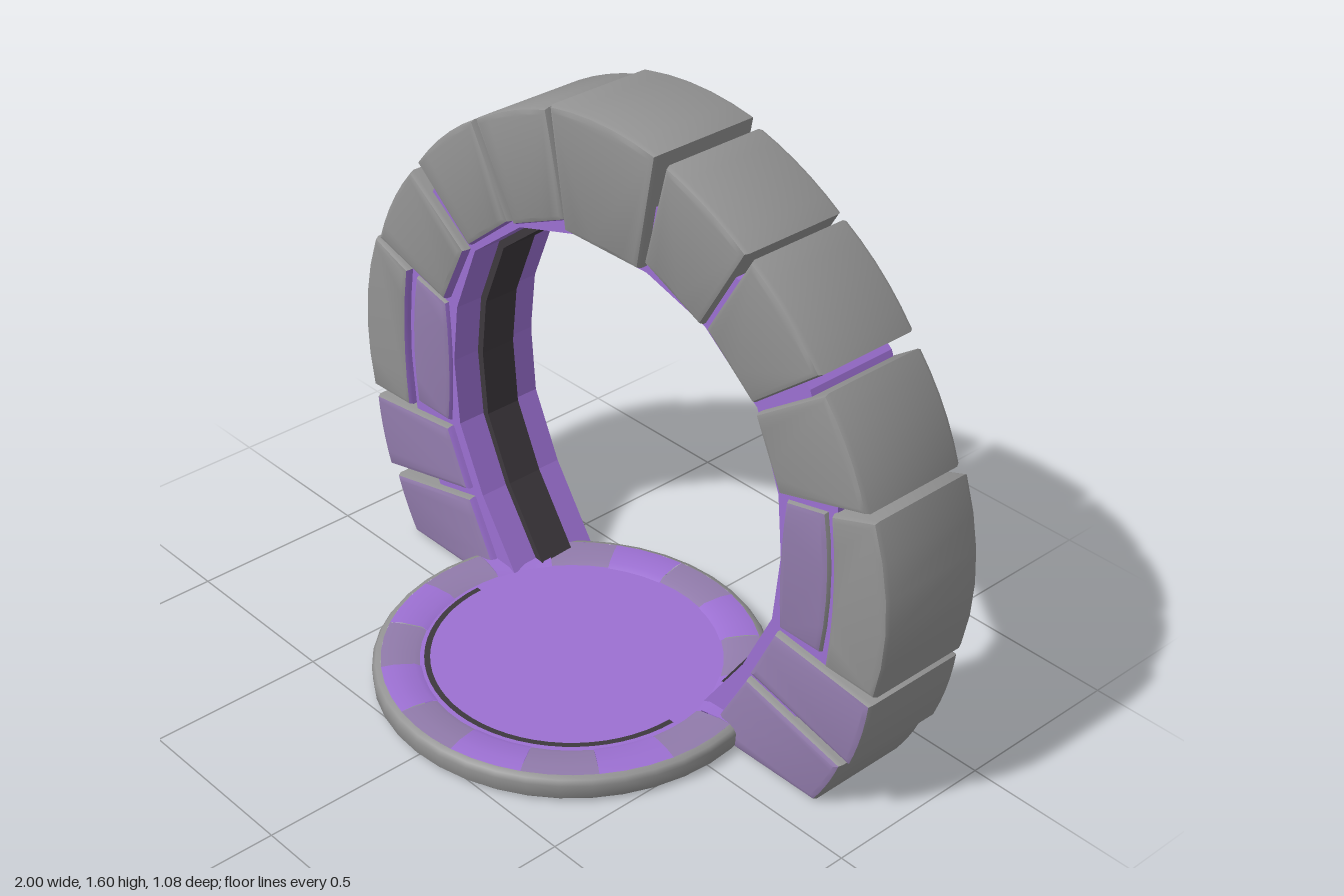
import * as THREE from 'three';
import { toCreasedNormals } from 'three/addons/utils/BufferGeometryUtils.js';

const mat = (name, color, side = THREE.FrontSide) => {
  const m = new THREE.MeshStandardMaterial({ color, side });
  m.name = name;
  return m;
};

export function createModel() {
  const stone = mat('grey stone', 0x929292);
  const mauve = mat('mauve stone', 0x917bab);
  const purple = mat('purple glow', 0x9c70d2);
  const dark = mat('dark band', 0x3d383d);
  const blue = mat('pale blue underside', 0xa6a9e2);

  const root = new THREE.Group();
  root.name = 'stonePortal';
  const add = (parent, name, geo, material) => {
    const m = new THREE.Mesh(geo, material);
    m.name = name;
    parent.add(m);
    return m;
  };
  const CENTRE = new THREE.Vector2(0, 0.63);

  // Bevelled stone from a four-cornered outline [outer a, outer b, inner b, inner a] with bulged outer edge
  function stoneGeometry(pts, bulge, z0, z1, rule, innerBulge = 0) {
    const [a, b, c, d] = pts.map(p => new THREE.Vector2(...p));
    const mid = (p, q, k) => {
      const m = p.clone().add(q).multiplyScalar(0.5);
      return m.add(m.clone().sub(CENTRE).normalize().multiplyScalar(2 * k));
    };
    const s = new THREE.Shape();
    const ab = mid(a, b, bulge), cd = mid(c, d, innerBulge);
    s.moveTo(a.x, a.y);
    s.quadraticCurveTo(ab.x, ab.y, b.x, b.y);
    s.lineTo(c.x, c.y);
    s.quadraticCurveTo(cd.x, cd.y, d.x, d.y);
    s.closePath();
    const bevel = 0.016;
    let g = new THREE.ExtrudeGeometry(s, {
      depth: z1 - z0 - 2 * bevel, bevelThickness: bevel, bevelSize: bevel,
      bevelOffset: -bevel, bevelSegments: 2, curveSegments: 5
    });
    g.translate(0, 0, z0 + bevel);
    g = toCreasedNormals(g, 0.6);
    // Choose a colour for every face by the way it points
    g.clearGroups();
    const p = g.attributes.position, t = new THREE.Triangle();
    const n = new THREE.Vector3(), m = new THREE.Vector3();
    for (let i = 0; i < p.count; i += 3) {
      t.setFromAttributeAndIndices(p, i, i + 1, i + 2);
      t.getNormal(n);
      t.getMidpoint(m);
      const toCentre = new THREE.Vector3(CENTRE.x - m.x, CENTRE.y - m.y, 0).normalize();
      g.addGroup(i, 3, rule(n, n.dot(toCentre)));
    }
    return g;
  }

  const palette = [stone, mauve, purple];
  const greyRule = (n, inward) => (inward > 0.6 ? 2 : 0);
  const lowerRule = (n, inward) =>
    inward > 0.5 || n.y < -0.8 ? 2 : Math.abs(n.z) > 0.6 ? 1 : 0;
  const footRule = (n, inward) =>
    inward > 0.5 || n.y < -0.8 || n.z < -0.6 ? 2 : n.z > 0.6 ? 1 : 0;

  // Arch stones of one side: name, corners, outer bulge, depth range, colour rule, inner bulge
  const stones = [
    ['upperStone', [[0.215, 1.565], [0.49, 1.44], [0.345, 1.19], [0.145, 1.28]], 0.012, -0.43, -0.1, greyRule, 0],
    ['shoulderStone', [[0.505, 1.43], [0.74, 1.225], [0.53, 1.055], [0.365, 1.19]], 0.015, -0.43, -0.1, greyRule, 0],
    ['highSideStone', [[0.765, 1.19], [0.915, 0.93], [0.635, 0.85], [0.545, 1.035]], 0.015, -0.43, -0.095, greyRule, 0],
    ['outerSideStone', [[0.94, 0.92], [0.975, 0.425], [0.81, 0.43], [0.8, 0.87]], 0.04, -0.43, -0.1, greyRule, 0.015],
    ['innerSideStone', [[0.775, 0.86], [0.785, 0.45], [0.645, 0.45], [0.645, 0.83]], 0.018, -0.42, -0.11, lowerRule, -0.01],
    ['lowSideStone', [[0.965, 0.395], [0.915, 0.18], [0.56, 0.265], [0.64, 0.435]], 0.008, -0.43, -0.1, lowerRule, 0],
    ['footStone', [[0.885, 0.16], [0.805, 0], [0.42, 0], [0.55, 0.24]], 0.006, -0.43, -0.1, footRule, 0]
  ];
  const arch = new THREE.Group();
  arch.name = 'arch';
  root.add(arch);
  for (const [side, s] of [['left', 1], ['right', -1]]) {
    for (const [name, pts, bulge, z0, z1, rule, inner] of stones) {
      const mirrored = pts.map(([x, y]) => [x * s, y]);
      add(arch, `${side}-${name}`, stoneGeometry(mirrored, bulge, z0, z1, rule, inner), palette);
    }
  }
  add(arch, 'keystone',
    stoneGeometry([[-0.19, 1.585], [0.19, 1.585], [0.135, 1.26], [-0.135, 1.26]], 0.02, -0.43, -0.09, greyRule), palette);

  // Purple core behind the stones and the dark band lining the opening
  const half = [[0.13, 1.22], [0.33, 1.16], [0.51, 1.02], [0.59, 0.82], [0.608, 0.65],
    [0.59, 0.46], [0.5, 0.27], [0.35, 0.05]];
  const line = [...half.map(([x, y]) => [-x, y]).reverse(), ...half];
  const scaled = k => line.map(([x, y]) =>
    new THREE.Vector2(x * k, Math.max(0.012, CENTRE.y + (y - CENTRE.y) * k)));
  function arcBand(inner, outer, z0, z1) {
    const shape = new THREE.Shape([...scaled(inner), ...scaled(outer).reverse()]);
    const g = new THREE.ExtrudeGeometry(shape, { depth: z1 - z0, bevelEnabled: false });
    return g.translate(0, 0, z0);
  }
  add(arch, 'core', arcBand(1.035, 1.36, -0.405, -0.125), purple);
  add(arch, 'liningBand', arcBand(1, 1.1, -0.32, -0.21), dark);

  // Round floor slab with a rim of stones
  const slab = new THREE.Group();
  slab.name = 'floorSlab';
  root.add(slab);
  const lathe = (pts, seg, start = 0, len = Math.PI * 2) =>
    new THREE.LatheGeometry(pts.map(p => new THREE.Vector2(...p)), seg, start, len);
  add(slab, 'slabEdge',
    lathe([[0.525, 0], [0.537, 0.012], [0.539, 0.05], [0.53, 0.063], [0.515, 0.068]], 40), stone);
  const count = 16, step = Math.PI * 2 / count;
  for (let i = 0; i < count; i++) {
    const h = i % 2 ? 0.073 : 0.07;
    add(slab, 'rimStone',
      lathe([[0.515, 0.068], [0.48, h], [0.425, h - 0.003], [0.395, 0.055]], 3, (i - 0.5) * step, step),
      i % 2 ? purple : mauve);
  }
  const floor = add(slab, 'floor', new THREE.CylinderGeometry(0.42, 0.42, 0.05, 40), purple);
  floor.position.y = 0.036;
  const groove = add(slab, 'grooveArc',
    new THREE.RingGeometry(0.382, 0.398, 32, 1, Math.PI, Math.PI), dark);
  groove.rotation.x = -Math.PI / 2;
  groove.position.y = 0.0635;

  // Underside
  const under = add(slab, 'underside', new THREE.CircleGeometry(0.526, 40), blue);
  under.rotation.x = Math.PI / 2;
  under.position.y = 0.004;
  const patch = add(slab, 'undersidePatch', new THREE.CircleGeometry(0.43, 40), purple);
  patch.rotation.x = Math.PI / 2;
  patch.position.set(0, 0, -0.09);

  return root;
}
